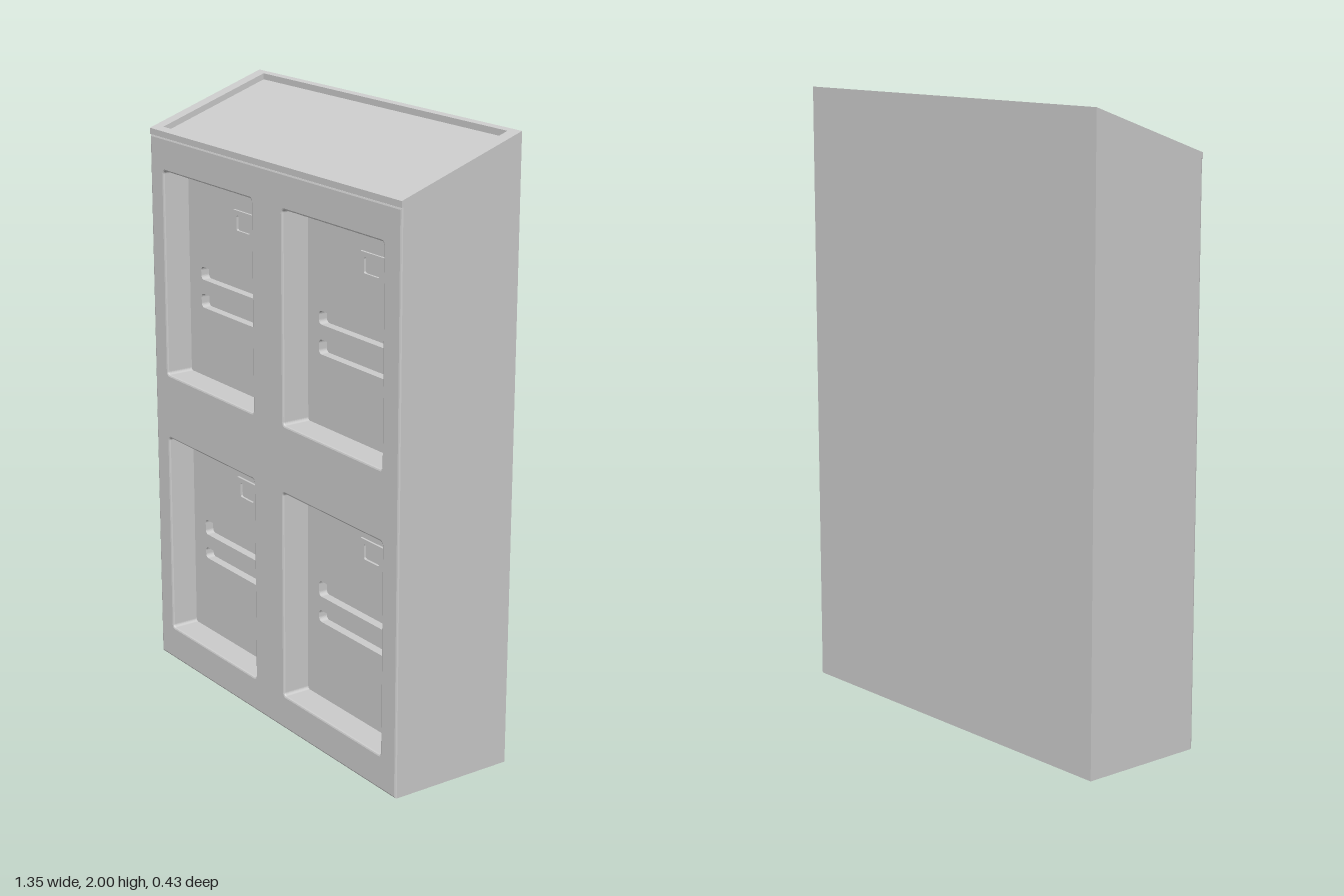
import * as THREE from 'three';

const W = 0.677, D = 0.215, SLOPE = 0.15 / 0.43;
const RIM = 0.02;          // depth of the sunken roof panel
const FRONT_H = 1.85;      // height of the front edge
const DOOR_Z = 0.12, DOOR_T = 0.03;
const BEVEL = 0.006;

const grey = new THREE.MeshStandardMaterial({ color: 0xcccccc });

function mesh(name, geometry, parent) {
  const m = new THREE.Mesh(geometry, grey);
  m.name = name;
  parent.add(m);
  return m;
}

// Rounded rectangle from its bounds
function rect([x0, x1, y0, y1], r = 0, Type = THREE.Shape) {
  const s = new Type();
  s.moveTo(x0 + r, y0);
  s.lineTo(x1 - r, y0);
  if (r) s.absarc(x1 - r, y0 + r, r, -Math.PI / 2, 0);
  s.lineTo(x1, y1 - r);
  if (r) s.absarc(x1 - r, y1 - r, r, 0, Math.PI / 2);
  s.lineTo(x0 + r, y1);
  if (r) s.absarc(x0 + r, y1 - r, r, Math.PI / 2, Math.PI);
  s.lineTo(x0, y0 + r);
  if (r) s.absarc(x0 + r, y0 + r, r, Math.PI, Math.PI * 1.5);
  return s;
}

function plate(bounds, r, holes, holeR, z0, z1, bevel = 0) {
  const s = rect(bounds, r);
  s.holes = holes.map((h) => rect(h, holeR, THREE.Path));
  const g = new THREE.ExtrudeGeometry(s, {
    depth: z1 - z0 - bevel, curveSegments: 5, bevelEnabled: bevel > 0,
    bevelSize: bevel, bevelThickness: bevel, bevelOffset: -bevel, bevelSegments: 2,
  });
  return g.translate(0, 0, z0);
}

// Lean the upper edge of a geometry to follow the roof
function slopeTop(g) {
  const p = g.attributes.position;
  for (let i = 0; i < p.count; i++) {
    if (p.getY(i) > 1.78) p.setY(i, p.getY(i) + (D - p.getZ(i)) * SLOPE);
  }
  g.computeVertexNormals();
  return g;
}

const grow = ([a, b, c, d], k) => [a - k, b + k, c - k, d + k];

// Door bounds, grip slots, keypad bounds (x0, x1, y0, y1)
const doors = [
  { name: 'upperRight', hole: [-0.6, -0.083, 1.03, 1.72],
    slots: [[-0.53, -0.147, 1.36, 1.403], [-0.53, -0.147, 1.265, 1.312]], pad: [-0.323, -0.11, 1.503, 1.633] },
  { name: 'upperLeft', hole: [0.084, 0.595, 1.035, 1.717],
    slots: [[0.142, 0.546, 1.36, 1.403], [0.142, 0.546, 1.265, 1.312]], pad: [0.361, 0.576, 1.505, 1.635] },
  { name: 'lowerRight', hole: [-0.6, -0.083, 0.115, 0.807],
    slots: [[-0.53, -0.147, 0.463, 0.515], [-0.53, -0.147, 0.376, 0.415]], pad: [-0.318, -0.106, 0.6, 0.733] },
  { name: 'lowerLeft', hole: [0.08, 0.6, 0.115, 0.81],
    slots: [[0.142, 0.546, 0.463, 0.515], [0.142, 0.546, 0.376, 0.415]], pad: [0.37, 0.584, 0.602, 0.735] },
];

function makeDoor({ name, hole, slots, pad }) {
  const door = new THREE.Group();
  door.name = name + 'Door';
  mesh('doorPanel', plate(grow(hole, 0.004), 0.01, slots, 0.014, DOOR_Z - DOOR_T, DOOR_Z), door);

  // Keypad plate with a sunken display window
  const [x0, , , y1] = pad;
  const screen = [x0 + 0.022, x0 + 0.099, y1 - 0.065, y1 - 0.016];
  mesh('keypad', plate(pad, 0.003, [screen], 0.006, DOOR_Z, DOOR_Z + 0.008), door);

  // Four domed buttons
  for (const dx of [0.148, 0.184]) {
    for (const dy of [0.056, 0.094]) {
      const b = mesh('button', new THREE.SphereGeometry(0.018, 16, 10), door);
      b.scale.z = 0.7;
      b.position.set(x0 + dx, y1 - dy, DOOR_Z + 0.008);
    }
  }
  return door;
}

export function createModel() {
  const model = new THREE.Group();
  model.name = 'lockerCabinet';
  const top = FRONT_H - RIM;
  const backZ = DOOR_Z - DOOR_T;

  // Solid back part and front frame with door openings
  mesh('cabinetBody', slopeTop(plate([-W, W, 0, top], 0, [], 0, -D, backZ)), model);
  mesh('frontFrame', slopeTop(plate([-W, W, 0, top], 0, doors.map((d) => d.hole), 0.01,
    backZ - BEVEL, D, BEVEL)), model);

  // Raised rim around the sloping roof
  const rim = plate([-W, W, -D, D], 0, [[-0.63, 0.63, -0.192, 0.2]], 0, 0, RIM);
  rim.rotateX(-Math.PI / 2).translate(0, top, 0);
  mesh('roofRim', slopeTop(rim), model);

  for (const d of doors) model.add(makeDoor(d));
  return model;
}
